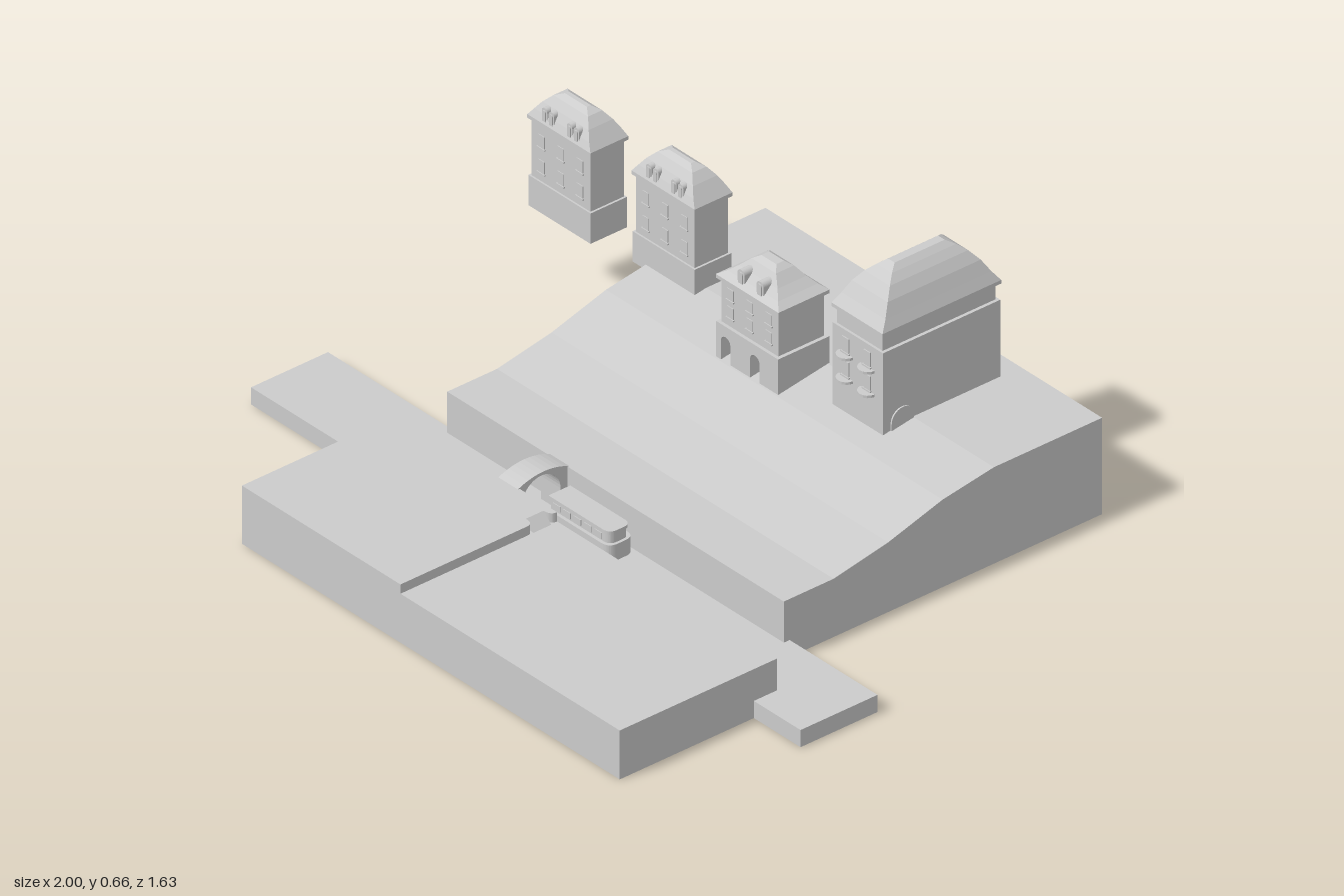
import * as THREE from 'three';

const mat = new THREE.MeshStandardMaterial({ color: 0xcccccc, flatShading: true, side: THREE.DoubleSide });

function add(parent, geo, name, x = 0, y = 0, z = 0) {
  const m = new THREE.Mesh(geo, mat);
  m.name = name;
  m.position.set(x, y, z);
  parent.add(m);
  return m;
}

// Box given by its width, y range, depth and centre
function box(parent, name, w, y0, y1, d, x = 0, z = 0) {
  return add(parent, new THREE.BoxGeometry(w, y1 - y0, d), name, x, (y0 + y1) / 2, z);
}

const extrude = (shape, depth) =>
  new THREE.ExtrudeGeometry(shape, { depth, bevelEnabled: false, curveSegments: 10 });

// Side profile drawn as (-z, y), swept along x
const alongX = (shape, x0, x1) => extrude(shape, x1 - x0).rotateY(Math.PI / 2).translate(x0, 0, 0);
// Plan drawn as (x, -z), swept upwards
const upward = (shape, y0, y1) => extrude(shape, y1 - y0).rotateX(-Math.PI / 2).translate(0, y0, 0);

// Round-headed outline standing on y
function archPath(path, x, y, w, h) {
  const r = w / 2;
  path.moveTo(x - r, y);
  path.lineTo(x + r, y);
  path.lineTo(x + r, y + h - r);
  path.absarc(x, y + h - r, r, 0, Math.PI, false);
  path.lineTo(x - r, y);
  return path;
}

// Hipped roof lofted through rectangles [halfWidth, halfDepth, y]
function roof(parent, rings) {
  const pos = [];
  const corners = rings.map(([a, b, y]) => [[-a, y, b], [a, y, b], [a, y, -b], [-a, y, -b]]);
  const quad = (a, b, c, d) => pos.push(...a, ...b, ...c, ...a, ...c, ...d);
  for (let i = 0; i < rings.length - 1; i++)
    for (let k = 0; k < 4; k++) {
      const n = (k + 1) % 4;
      quad(corners[i][k], corners[i][n], corners[i + 1][n], corners[i + 1][k]);
    }
  quad(...corners[corners.length - 1]);
  quad(...[...corners[0]].reverse());
  const g = new THREE.BufferGeometry();
  g.setAttribute('position', new THREE.Float32BufferAttribute(pos, 3));
  g.computeVertexNormals();
  add(parent, g, 'roof');
}

// Window pane with a sill, on a front wall
function windows(parent, xs, ys, z, w, h) {
  for (const x of xs) for (const y of ys) {
    box(parent, 'window', w, y, y + h, 0.004, x, z);
    box(parent, 'windowSill', w + 0.006, y - 0.004, y, 0.009, x, z);
  }
}

function dormers(parent, xs, y, z, w, h, depth) {
  for (const x of xs) {
    add(parent, extrude(archPath(new THREE.Shape(), 0, 0, w, h), depth), 'dormer', x, y, z - depth);
    add(parent, extrude(archPath(new THREE.Shape(), 0, 0.006, w * 0.6, h - 0.012), 0.003), 'dormerWindow', x, y, z);
  }
}

function house(parent, name, x, z) {
  const g = new THREE.Group();
  g.name = name;
  g.position.set(x, 0, z);
  parent.add(g);
  return g;
}

// Narrow house with four dormers and a side balcony
function townHouse(parent, name, x, z) {
  const g = house(parent, name, x, z);
  box(g, 'base', 0.226, 0.25, 0.335, 0.114);
  box(g, 'walls', 0.214, 0.335, 0.497, 0.104);
  box(g, 'eaves', 0.23, 0.495, 0.505, 0.118);
  roof(g, [[0.115, 0.059, 0.505], [0.1, 0.05, 0.525], [0.084, 0.038, 0.547], [0.063, 0.022, 0.568], [0.04, 0.006, 0.578]]);
  dormers(g, [-0.058, -0.033, 0.033, 0.058], 0.505, 0.054, 0.02, 0.042, 0.05);
  windows(g, [-0.07, 0, 0.07], [0.36, 0.43], 0.052, 0.022, 0.034);
  add(g, new THREE.CylinderGeometry(0.022, 0.022, 0.006, 16), 'balcony', -0.109, 0.4, 0.017);
}

// Wide house on an arcaded base
function arcadeHouse(parent) {
  const g = house(parent, 'arcadeHouse', -0.0375, -0.405);
  const front = new THREE.Shape([[-0.113, 0.245], [0.113, 0.245], [0.113, 0.345], [-0.113, 0.345]]
    .map(p => new THREE.Vector2(...p)));
  for (const x of [-0.078, 0.028]) front.holes.push(archPath(new THREE.Path(), x, 0.2455, 0.034, 0.07));
  add(g, extrude(front, 0.04), 'arcade', 0, 0, 0.04);
  box(g, 'base', 0.226, 0.245, 0.345, 0.12, 0, -0.02);
  box(g, 'walls', 0.206, 0.345, 0.468, 0.142);
  box(g, 'eaves', 0.228, 0.466, 0.476, 0.16);
  roof(g, [[0.114, 0.08, 0.476], [0.092, 0.062, 0.49], [0.07, 0.045, 0.508], [0.045, 0.028, 0.532], [0.027, 0.012, 0.543]]);
  dormers(g, [-0.036, 0.033], 0.476, 0.068, 0.026, 0.044, 0.05);
  windows(g, [-0.07, 0, 0.07], [0.37, 0.42], 0.071, 0.022, 0.03);
}

// Tall deep house with a domed roof and round balconies
function tallHouse(parent) {
  const g = house(parent, 'tallHouse', 0.2925, -0.57);
  box(g, 'walls', 0.184, 0.255, 0.485, 0.366);
  box(g, 'upperWalls', 0.166, 0.485, 0.532, 0.352);
  box(g, 'eaves', 0.186, 0.53, 0.54, 0.37);
  roof(g, [[0.093, 0.185, 0.54], [0.08, 0.165, 0.567], [0.065, 0.145, 0.6], [0.046, 0.122, 0.627], [0.028, 0.1, 0.645], [0.012, 0.078, 0.658]]);
  for (const x of [-0.042, 0.036]) for (const y of [0.352, 0.418])
    add(g, new THREE.CylinderGeometry(0.026, 0.026, 0.007, 16), 'balcony', x, y, 0.182);
  windows(g, [-0.042, 0.036], [0.36, 0.426], 0.184, 0.024, 0.04);
  // Arched side door
  const door = archPath(new THREE.Shape(), -0.124, 0.24, 0.07, 0.073);
  add(g, alongX(door, 0.09, 0.096), 'sideDoor');
}

function boat(parent) {
  const g = house(parent, 'boat', 0, 0.252);
  const plan = (x0, x1, b, r) => {
    const s = new THREE.Shape();
    s.moveTo(x0, -b);
    s.lineTo(x1 - r, -b);
    s.quadraticCurveTo(x1, -b, x1, -b + r);
    s.lineTo(x1, b - r);
    s.quadraticCurveTo(x1, b, x1 - r, b);
    s.lineTo(x0, b);
    return s;
  };
  add(g, upward(plan(-0.05, 0.18, 0.04, 0.028), 0.077, 0.122), 'hull');
  add(g, upward(plan(-0.042, 0.172, 0.031, 0.022), 0.122, 0.148), 'cabin');
  add(g, upward(plan(-0.047, 0.175, 0.034, 0.024), 0.148, 0.157), 'cabinRoof');
  for (let i = 0; i < 5; i++) box(g, 'cabinWindow', 0.026, 0.127, 0.143, 0.066, -0.02 + i * 0.038);
}

export function createModel() {
  const model = new THREE.Group();
  model.name = 'canalTown';

  // Canal and rear hillside
  box(model, 'canal', 2, 0, 0.048, 0.24, 0, 0.277);
  const hill = [[-0.175, 0], [-0.175, 0.163], [-0.02, 0.163], [0.15, 0.195], [0.32, 0.245], [0.48, 0.27], [0.817, 0.27], [0.817, 0]];
  add(model, alongX(new THREE.Shape(hill.map(p => new THREE.Vector2(...p))), -0.545, 0.68), 'hillside');

  // Front quay: low block with a raised terrace on its right half
  box(model, 'quay', 1.375, 0, 0.137, 0.49, 0.1425, 0.57);
  const t = new THREE.Shape();
  t.moveTo(-0.545, -0.815);
  t.lineTo(0.032, -0.815);
  t.lineTo(0.032, -0.42);
  t.quadraticCurveTo(0.032, -0.4, 0.004, -0.4);
  t.lineTo(0.004, -0.345);
  t.quadraticCurveTo(0.03, -0.345, 0.03, -0.325);
  t.lineTo(-0.545, -0.325);
  add(model, upward(t, 0.137, 0.163), 'terrace');
  // Ramp up to the terrace
  const ramp = new THREE.Shape();
  ramp.moveTo(0.004, 0.137);
  ramp.lineTo(0.032, 0.137);
  ramp.lineTo(0.004, 0.163);
  add(model, extrude(ramp, 0.055), 'ramp', 0, 0, 0.345);

  // Arched bridge
  const b = new THREE.Shape();
  b.moveTo(-0.33, 0.04);
  b.lineTo(-0.317, 0.04);
  b.lineTo(-0.317, 0.112);
  b.absarc(-0.257, 0.112, 0.06, Math.PI, 0, true);
  b.lineTo(-0.197, 0.04);
  b.lineTo(-0.17, 0.04);
  b.lineTo(-0.17, 0.163);
  b.quadraticCurveTo(-0.25, 0.198, -0.33, 0.163);
  add(model, alongX(b, -0.178, -0.107), 'bridge');

  boat(model);
  townHouse(model, 'outerTownHouse', -0.83, -0.476);
  townHouse(model, 'innerTownHouse', -0.48, -0.501);
  arcadeHouse(model);
  tallHouse(model);
  return model;
}
